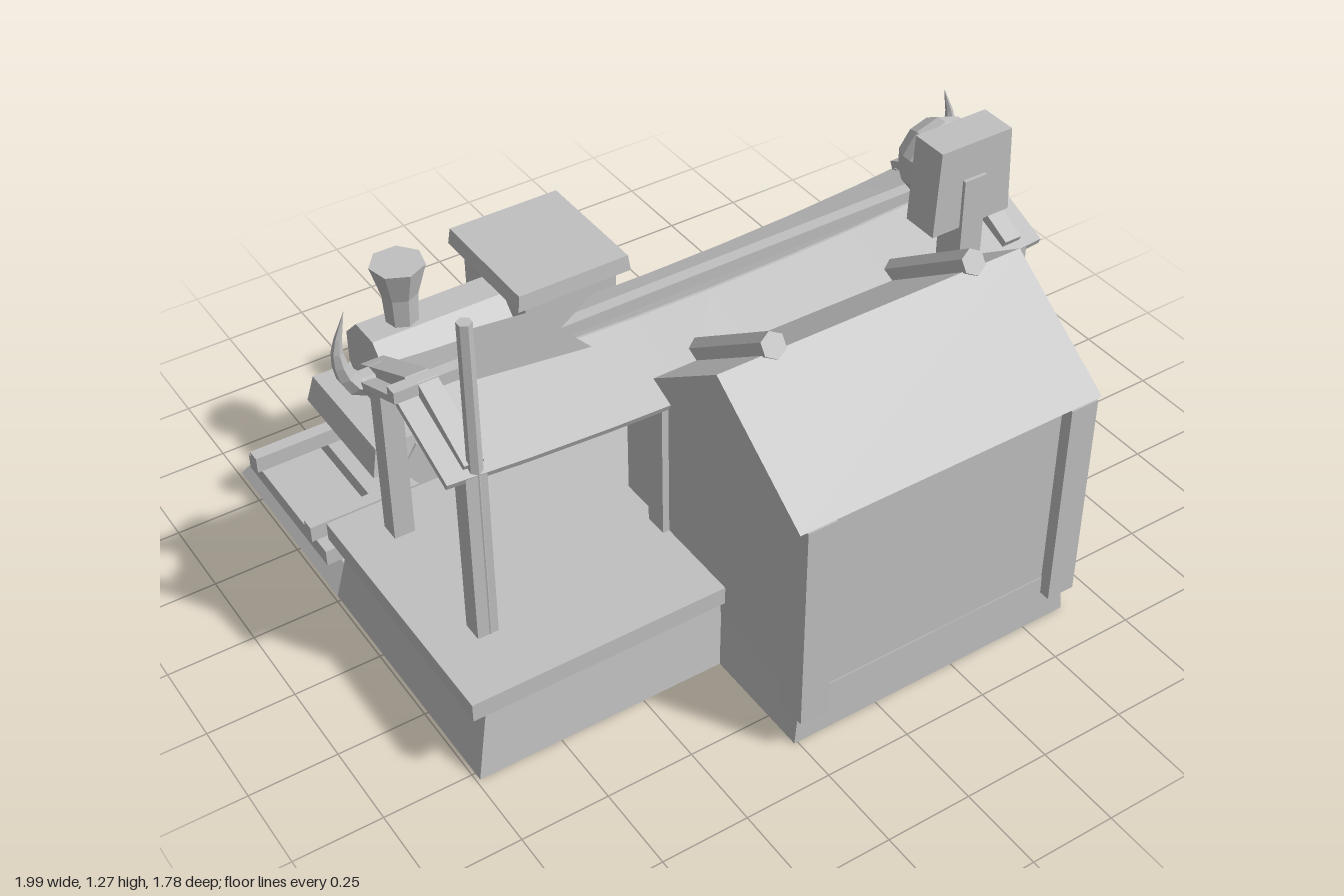
import * as THREE from 'three';

export function createModel() {
  const root = new THREE.Group();
  root.name = 'railwayStation';
  const grey = new THREE.MeshStandardMaterial({ color: 0xc0c0c0, side: THREE.DoubleSide, flatShading: true });
  grey.name = 'plain grey';

  const add = (name, geo) => {
    const m = new THREE.Mesh(geo, grey);
    m.name = name;
    root.add(m);
    return m;
  };
  // Box given by its limits on each axis
  const box = (name, x0, x1, y0, y1, z0, z1) => add(name,
    new THREE.BoxGeometry(x1 - x0, y1 - y0, z1 - z0).translate((x0 + x1) / 2, (y0 + y1) / 2, (z0 + z1) / 2));
  // Tapered box: top is drawn in by (dx, dz); optionally without a bottom
  const frustum = (name, x0, x1, y0, y1, z0, z1, dx, dz, open = false) => {
    const m = box(name, x0, x1, y0, y1, z0, z1), g = m.geometry, p = g.attributes.position;
    const cx = (x0 + x1) / 2, cz = (z0 + z1) / 2, cy = (y0 + y1) / 2;
    for (let i = 0; i < p.count; i++) {
      if (p.getY(i) < cy) continue;
      p.setX(i, p.getX(i) - Math.sign(p.getX(i) - cx) * dx);
      p.setZ(i, p.getZ(i) - Math.sign(p.getZ(i) - cz) * dz);
    }
    if (open) {
      const idx = Array.from(g.index.array);
      idx.splice(18, 6);
      g.setIndex(idx);
      g.clearGroups();
    }
    g.computeVertexNormals();
    return m;
  };
  // Bar running along a slope in the yz plane
  const slopeGeo = (x, w, h, y0, z0, y1, z1, seg = 1) =>
    new THREE.BoxGeometry(w, h, Math.hypot(y1 - y0, z1 - z0), seg, 1, 1)
      .rotateX(-Math.atan2(y1 - y0, z1 - z0)).translate(x, (y0 + y1) / 2, (z0 + z1) / 2);

  // Platform
  frustum('platformBase', -0.99, 0.99, 0, 0.215, -0.27, 0.525, 0.045, 0.025, true);
  box('platformSlab', -0.995, 0.995, 0.215, 0.27, -0.27, 0.525);

  // Track
  frustum('trackBed', -0.99, 0.99, 0, 0.06, -0.89, -0.27, 0.05, 0.03, true);
  for (let i = 0; i < 10; i++) {
    const x = -0.945 + i * 0.208;
    box('sleeper', x - 0.037, x + 0.037, 0.06, 0.11, -0.83, -0.335);
  }
  for (const z of [-0.76, -0.412]) box('rail', -0.995, 0.995, 0.11, 0.16, z - 0.02, z + 0.02);

  // Locomotive
  frustum('chassis', -0.8, 0.055, 0.26, 0.345, -0.785, -0.375, 0.02, 0.012);
  box('cab', -0.28, 0.015, 0.34, 0.62, -0.76, -0.41);
  frustum('cabRoof', -0.315, 0.05, 0.62, 0.67, -0.785, -0.385, 0.006, 0.004);
  add('boiler', new THREE.CylinderGeometry(0.13, 0.13, 0.42, 8)
    .rotateY(Math.PI / 8).rotateZ(Math.PI / 2).translate(-0.48, 0.46, -0.587));
  const stack = [[0, 0.55], [0.045, 0.55], [0.052, 0.67], [0.08, 0.77], [0, 0.77]].map(p => new THREE.Vector2(...p));
  add('chimney', new THREE.LatheGeometry(stack, 7).translate(-0.57, 0, -0.59));
  for (const x of [-0.61, -0.12]) for (const z of [-0.763, -0.402]) {
    add('wheel', new THREE.CylinderGeometry(0.09, 0.09, 0.055, 10).rotateX(Math.PI / 2).translate(x, 0.245, z));
  }

  // Station house
  frustum('houseFoundation', -0.26, 0.635, 0, 0.155, 0.19, 0.865, 0.015, 0.003, true);
  box('houseWalls', -0.245, 0.62, 0.155, 0.75, 0.19, 0.86);
  for (const x of [-0.222, 0.595]) {
    box('cornerPost', x - 0.043, x + 0.043, 0.1, 0.75, 0.8, 0.895);
    box('cornerPost', x - 0.043, x + 0.043, 0.1, 0.75, 0.19, 0.26);
  }
  const gable = new THREE.Shape([[-0.89, 0.75], [-0.18, 0.75], [-0.535, 1]].map(p => new THREE.Vector2(...p)));
  add('houseRoof', new THREE.ExtrudeGeometry(gable, { depth: 0.94, bevelEnabled: false })
    .rotateY(Math.PI / 2).translate(-0.285, 0, 0));
  for (const x of [-0.12, 0.5]) {
    const len = Math.hypot(0.25, 0.355);
    add('roofBatten', new THREE.CylinderGeometry(0.037, 0.037, len, 6)
      .rotateX(Math.PI / 2 - Math.atan2(0.25, 0.355)).translate(x, 0.895, 0.36));
  }

  // Side window and trim
  box('sideTrim', 0.62, 0.636, 0.525, 0.67, 0.415, 0.8);
  box('windowFrame', 0.62, 0.638, 0.245, 0.525, 0.34, 0.69);
  box('windowPane', 0.638, 0.645, 0.285, 0.485, 0.39, 0.64);

  // Platform side door and cabinet
  for (const [x0, x1] of [[0.05, 0.4], [-0.24, -0.08]]) {
    box('doorBlock', x0, x1, 0.27, 0.64, 0.05, 0.19);
    frustum('doorBlockCap', x0 - 0.015, x1 + 0.015, 0.63, 0.675, 0.035, 0.19, 0.006, 0.006);
  }
  box('door', 0.12, 0.33, 0.27, 0.58, 0.043, 0.05);
  add('doorKnob', new THREE.IcosahedronGeometry(0.016).translate(0.16, 0.42, 0.035));

  // Crate
  box('crate', 0.68, 0.81, 0.27, 0.415, 0.145, 0.275);
  box('crateHandle', 0.72, 0.77, 0.415, 0.428, 0.185, 0.235);

  // Canopy, sagging towards the middle
  const sag = x => 0.045 * (1 - (x / 0.92) ** 2);
  for (const [y, z] of [[0.785, -0.19], [0.8, 0.33]]) {
    const g = slopeGeo(0, 1.84, 0.02, 0.9, 0.085, y, z, 8), p = g.attributes.position;
    for (let i = 0; i < p.count; i++) p.setY(i, p.getY(i) - sag(p.getX(i)));
    g.computeVertexNormals();
    add('canopy', g);
  }
  box('ridgeBeam', -0.93, 0.92, 0.905, 0.94, 0.068, 0.103);
  for (const s of [-1, 1]) {
    add('backRafter', slopeGeo(s * 0.845, 0.065, 0.035, 0.925, 0.07, 0.795, -0.19));
    add('frontRafter', slopeGeo(s * 0.835, 0.055, 0.035, 0.925, 0.09, 0.815, 0.31));
    for (const z of [-0.145, 0.303]) {
      box('canopyPost', s * 0.84 - 0.03, s * 0.84 + 0.03, 0.27, 0.8, z - 0.03, z + 0.03);
    }
    // Horn at each back corner, a tube narrowed to a point
    const curve = new THREE.CatmullRomCurve3([[0.85, 0.8], [0.925, 0.815], [0.965, 0.92], [0.935, 1.045]]
      .map(([x, y]) => new THREE.Vector3(s * x, y, -0.13)));
    const g = new THREE.TubeGeometry(curve, 8, 0.042, 6), p = g.attributes.position, v = new THREE.Vector3();
    for (let i = 0; i < p.count; i++) {
      const t = Math.floor(i / 7) / 8, c = curve.getPointAt(t);
      v.fromBufferAttribute(p, i).sub(c).multiplyScalar(1 - t).add(c);
      p.setXYZ(i, v.x, v.y, v.z);
    }
    g.computeVertexNormals();
    add('horn', g);
  }

  // Bunting under the back eave
  for (let i = 0; i < 9; i++) {
    const x = -0.75 + i * 0.19, y = 0.785 - sag(x);
    const tri = new THREE.Shape([[x - 0.095, y], [x, y - 0.1], [x + 0.095, y]].map(p => new THREE.Vector2(...p)));
    add('bunting', new THREE.ShapeGeometry(tri).translate(0, 0, -0.165));
  }

  // Flag
  add('flagPole', new THREE.CylinderGeometry(0.02, 0.02, 0.98, 6).translate(-0.833, 0.76, 0.315));
  const flag = new THREE.Shape([[-0.82, 1.22], [-0.82, 1.07], [-0.495, 1.03], [-0.58, 1.12], [-0.49, 1.185]]
    .map(p => new THREE.Vector2(...p)));
  add('flag', new THREE.ShapeGeometry(flag).translate(0, 0, 0.31));

  // Clock tower
  box('clockPost', 0.56, 0.63, 0.75, 1.17, 0.32, 0.413);
  frustum('clockBox', 0.473, 0.722, 1.025, 1.275, 0.295, 0.403, 0.012, 0);
  const dial = [[0, 0], [0.105, 0], [0.115, 0.02], [0.115, 0.05], [0.09, 0.095], [0.08, 0.08], [0, 0.08]]
    .map(p => new THREE.Vector2(...p));
  add('clockDial', new THREE.LatheGeometry(dial, 10).rotateX(-Math.PI / 2).translate(0.597, 1.15, 0.295));
  box('clockHand', 0.589, 0.605, 1.105, 1.205, 0.205, 0.215);
  return root;
}
